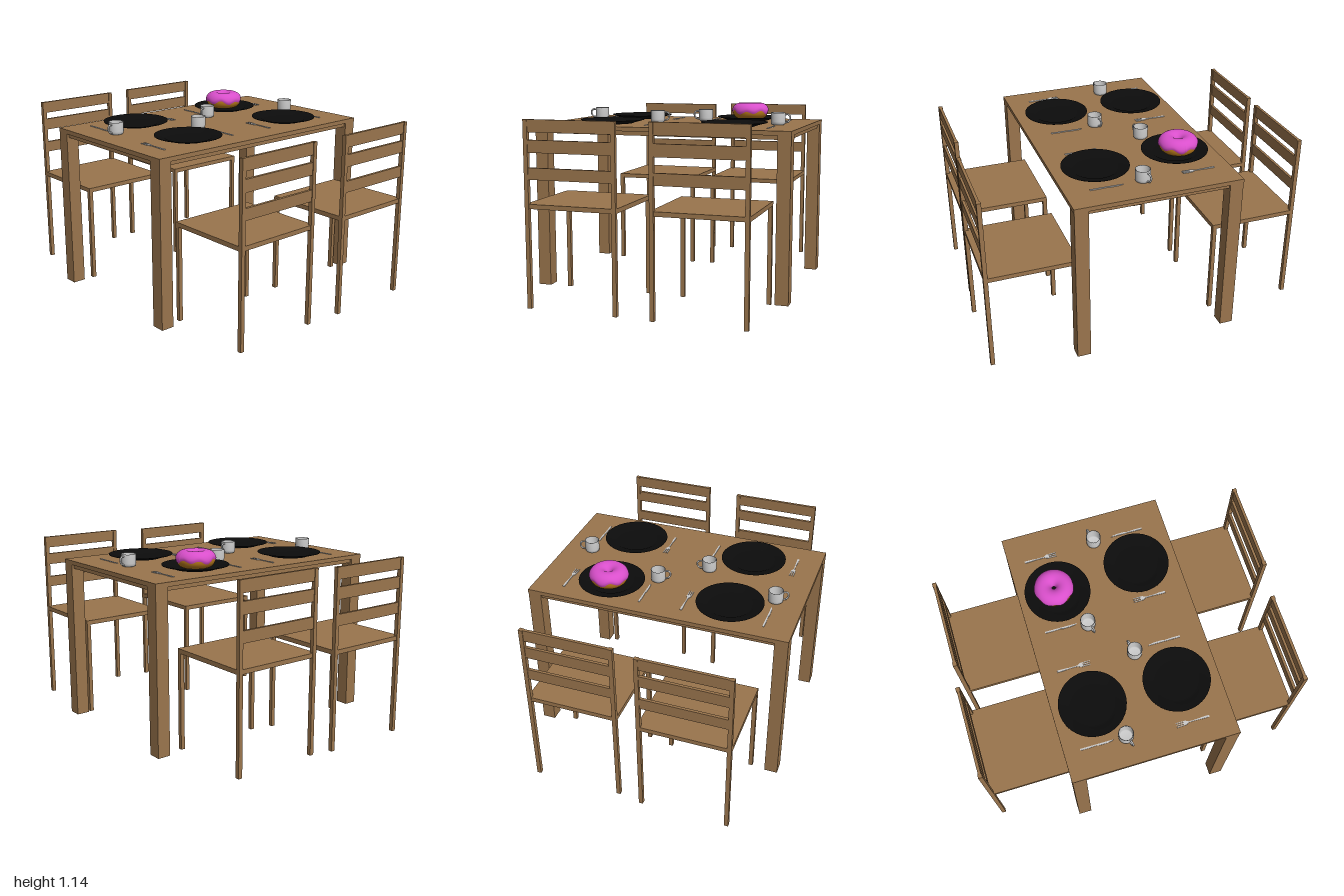
import * as THREE from 'three';

const mat = (color, extra = {}) => new THREE.MeshStandardMaterial({ color, ...extra });
const wood = mat(0x9a754d);
const grey = mat(0xcccccc, { side: THREE.DoubleSide });
const black = mat(0x0c0c0c, { side: THREE.DoubleSide });
const pink = mat(0xd94fcb, { side: THREE.DoubleSide });
const dough = mat(0xb87a1c);
const TOP = 1.026;

function group(name, ...children) {
  const g = new THREE.Group();
  g.name = name;
  if (children.length) g.add(...children);
  return g;
}

function mesh(name, geometry, material) {
  const m = new THREE.Mesh(geometry, material);
  m.name = name;
  return m;
}

// Box given by its lower and upper corner
function box(name, [x0, y0, z0], [x1, y1, z1], material = wood) {
  const m = mesh(name, new THREE.BoxGeometry(x1 - x0, y1 - y0, z1 - z0), material);
  m.position.set((x0 + x1) / 2, (y0 + y1) / 2, (z0 + z1) / 2);
  return m;
}

function lathe(name, points, material, segments = 48) {
  return mesh(name, new THREE.LatheGeometry(points.map(p => new THREE.Vector2(...p)), segments), material);
}

function place(object, x, y, z, turn = 0) {
  object.position.set(x, y, z);
  object.rotation.y = turn;
  return object;
}

function makeTable() {
  const g = group('table', box('tableTop', [-0.8, 1.0, -0.505], [0.8, TOP, 0.505]));
  for (const s of [-1, 1]) {
    const z = s * 0.48, x = s * 0.775;
    g.add(box('longApron', [-0.73, 0.975, z - 0.01], [0.73, 1.0, z + 0.01]));
    g.add(box('shortApron', [x - 0.01, 0.975, -0.43], [x + 0.01, 1.0, 0.43]));
    for (const t of [-1, 1]) {
      const leg = box('tableLeg', [-0.04, 0.017, -0.041], [0.04, 1.0, 0.041]);
      leg.position.x = s * 0.759;
      leg.position.z = t * 0.462;
      g.add(leg);
    }
  }
  return g;
}

// Chair with its back at local z = 0 and the seat reaching to -z
function makeChair() {
  const w = 0.278, d = 0.55, t = 0.025;
  const g = group('chair', box('seat', [-w, 0.583, -d], [w, 0.61, -0.004]));
  for (const s of [-1, 1]) {
    const x0 = s > 0 ? w - t : -w;
    g.add(box('backPost', [x0, 0, -t], [x0 + t, 1.09, 0]));
    g.add(box('frontLeg', [x0, 0, -d], [x0 + t, 0.59, -d + t]));
  }
  for (const [y0, y1] of [[0.75, 0.818], [0.903, 0.975], [1.018, 1.09]]) {
    g.add(box('backSlat', [-w + 0.01, y0, -0.021], [w - 0.01, y1, -0.004]));
  }
  return g;
}

function makePlate() {
  return lathe('plate', [[0, 0.003], [0.125, 0.003], [0.14, 0.012], [0.2, 0.026],
    [0.2, 0.022], [0.14, 0.006], [0.125, 0], [0, 0]], black);
}

function makeCup() {
  const body = lathe('cupBody', [[0, 0], [0.036, 0], [0.043, 0.006], [0.045, 0.02], [0.045, 0.075],
    [0.041, 0.075], [0.041, 0.012], [0.035, 0.006], [0, 0.006]], grey, 32);
  const path = new THREE.CatmullRomCurve3([[0.042, 0.062], [0.06, 0.064], [0.073, 0.052],
    [0.073, 0.034], [0.062, 0.018], [0.042, 0.013]].map(([x, y]) => new THREE.Vector3(x, y, 0)));
  return group('cup', body, mesh('cupHandle', new THREE.TubeGeometry(path, 20, 0.0055, 8), grey));
}

// Flat cutlery outline, drawn with its tip towards -z
function flat(name, points, depth = 0.004) {
  const shape = new THREE.Shape(points.map(p => new THREE.Vector2(...p)));
  const geo = new THREE.ExtrudeGeometry(shape, { depth, bevelEnabled: false });
  return mesh(name, geo.rotateX(-Math.PI / 2), grey);
}

function makeKnife() {
  return flat('knife', [[-0.005, -0.1], [0.005, -0.1], [0.006, -0.05], [0.003, 0], [0.007, 0.01],
    [0.007, 0.06], [0.003, 0.09], [-0.003, 0.1], [-0.004, 0]]);
}

function makeFork() {
  const half = [[0.006, -0.1], [0.006, -0.07], [0.003, -0.02], [0.003, 0.025], [0.013, 0.042],
    [0.014, 0.1], [0.01, 0.1], [0.008, 0.055], [0.003, 0.055], [0.002, 0.1]];
  return flat('fork', [...half, ...half.map(([x, y]) => [-x, y]).reverse()]);
}

function makeDonut() {
  const R = 0.066, r = 0.049;
  const ring = mesh('dough', new THREE.TorusGeometry(R, r, 20, 48).rotateX(Math.PI / 2), dough);
  // Icing wraps the upper part of the ring, with a dripping lower edge
  const icing = new THREE.PlaneGeometry(1, 1, 72, 18);
  const p = icing.attributes.position;
  for (let i = 0; i < p.count; i++) {
    const a = (p.getX(i) + 0.5) * Math.PI * 2;
    const k = p.getY(i) * 2;
    const drip = 0.1 + 0.2 * Math.sin(7 * a) + 0.1 * Math.sin(4 * a + 1);
    const b = Math.PI / 2 - k * (Math.PI / 2 + (k > 0 ? drip : 0.3));
    const rr = r + 0.006 * Math.min(1, (1 - Math.abs(k)) * 6);
    const rad = R + rr * Math.cos(b);
    p.setXYZ(i, rad * Math.cos(a), rr * Math.sin(b), rad * Math.sin(a));
  }
  icing.computeVertexNormals();
  return group('donut', ring, mesh('icing', icing, pink));
}

export function createModel() {
  const model = group('diningSet', makeTable());

  // Chairs: x, floor height, z of the back, turn
  for (const c of [[-0.35, 0.003, 0.972, 0], [0.412, 0.008, 1.0, 0],
    [-0.357, 0, -1.0, Math.PI], [0.327, 0.008, -0.98, Math.PI]]) {
    model.add(place(makeChair(), ...c));
  }

  // Plates
  for (const [x, z] of [[-0.39, -0.265], [0.355, -0.265], [-0.39, 0.25], [0.4, 0.25]]) {
    model.add(place(makePlate(), x, TOP + 0.002, z));
  }

  // Cups, handles turned to the drinker's side
  for (const [x, z, turn] of [[-0.63, -0.135, Math.PI + 0.3], [0.1, -0.147, Math.PI + 0.3],
    [-0.157, 0.065, 0.3], [0.622, 0.042, 0.3]]) {
    model.add(place(makeCup(), x, TOP, z, turn));
  }

  // Cutlery
  for (const [x, z, turn] of [[-0.628, -0.308, Math.PI], [0.125, -0.308, Math.PI],
    [-0.133, 0.258, 0], [0.628, 0.258, 0]]) {
    model.add(place(makeKnife(), x, TOP, z, turn));
  }
  for (const [x, z, turn] of [[-0.135, -0.305, Math.PI], [0.612, -0.305, Math.PI],
    [-0.653, 0.263, 0], [0.17, 0.263, 0]]) {
    model.add(place(makeFork(), x, TOP, z, turn));
  }

  model.add(place(makeDonut(), 0.365, TOP + 0.06, -0.283));
  return model;
}
